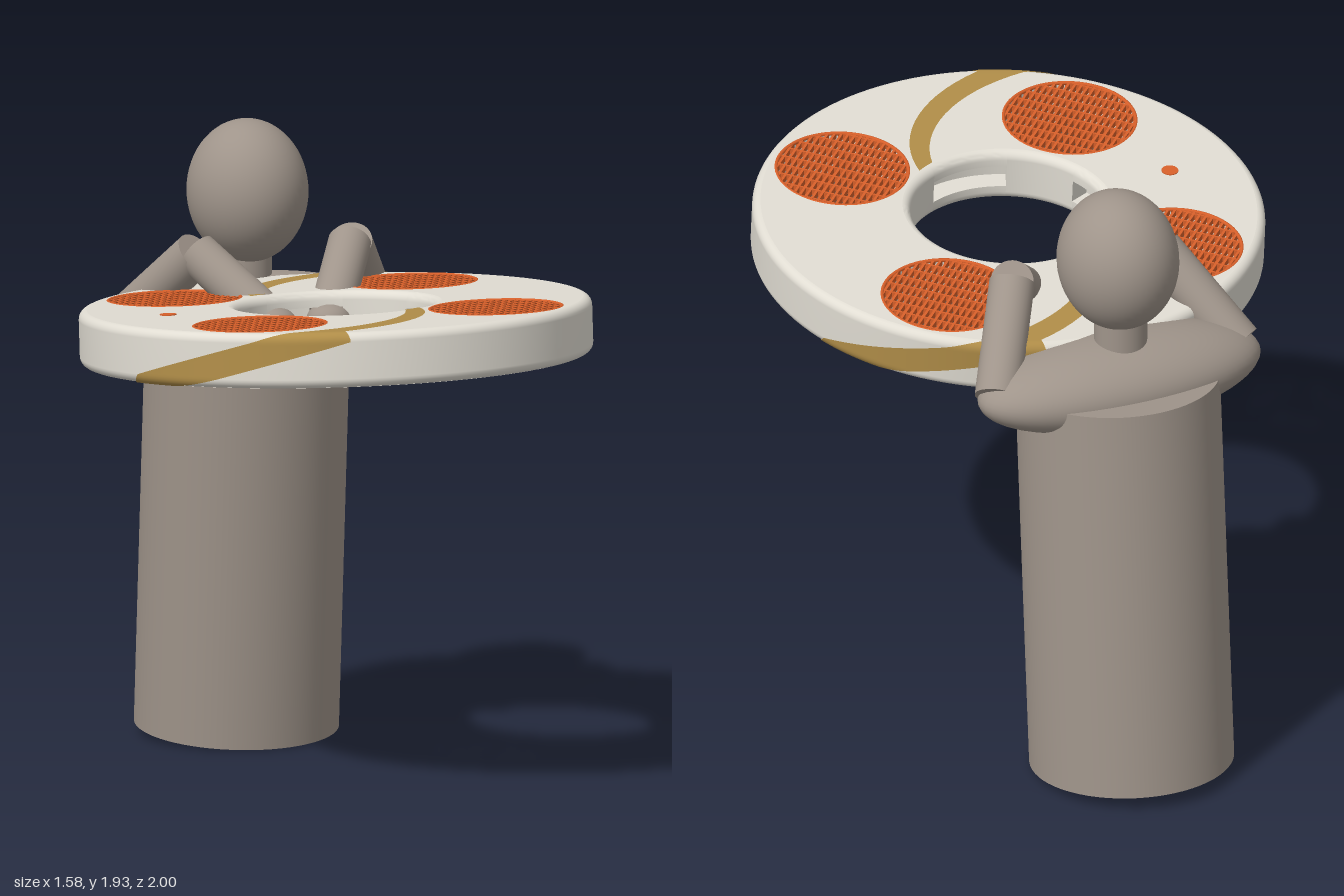
import * as THREE from 'three';
import { mergeGeometries, toCreasedNormals } from 'three/addons/utils/BufferGeometryUtils.js';

const mat = (name, color, side = THREE.FrontSide) => {
  const m = new THREE.MeshStandardMaterial({ color, side });
  m.name = name;
  return m;
};

const R = 0.788, HOLE = 0.302, H = 0.085, F = 0.028; // ring radii, half height, edge rounding
const FAN_R = 0.207, FAN_AT = 0.385;
const SLOT = 0.42, SLOT_H = 0.036, SLOT_R = 0.37;

export function createModel() {
  const skin = mat('taupe', 0x9f948a);
  const shell = mat('shell white', 0xe1ddd3, THREE.DoubleSide);
  const gold = mat('gold', 0xb08d48, THREE.DoubleSide);
  const orange = mat('orange', 0xd9602a);
  const dark = mat('dark grey', 0x5c5650);

  const model = new THREE.Group();
  const add = (parent, name, geometry, material, x = 0, y = 0, z = 0) => {
    const mesh = new THREE.Mesh(geometry, material);
    mesh.name = name;
    mesh.position.set(x, y, z);
    parent.add(mesh);
    return mesh;
  };
  const V = (x, y, z) => new THREE.Vector3(x, y, z);

  // ---- figure ----
  const figure = new THREE.Group();
  figure.name = 'figure';
  model.add(figure);
  add(figure, 'body', new THREE.CylinderGeometry(0.315, 0.315, 1.28, 64), skin, 0, 0.664, -0.635).rotation.x = 0.08;
  add(figure, 'shoulders', new THREE.SphereGeometry(1, 48, 32).scale(0.47, 0.14, 0.205), skin, 0, 1.31, -0.595);
  add(figure, 'neck', new THREE.CylinderGeometry(0.082, 0.082, 0.2, 32), skin, 0, 1.46, -0.607);
  add(figure, 'head', new THREE.SphereGeometry(1, 48, 32).scale(0.185, 0.222, 0.205), skin, 0, 1.711, -0.587);

  // limb cylinder between two points
  const limb = (name, a, b, r) => {
    const mid = a.clone().add(b).multiplyScalar(0.5);
    const m = add(figure, name, new THREE.CylinderGeometry(r, r, a.distanceTo(b), 32), skin, mid.x, mid.y, mid.z);
    m.quaternion.setFromUnitVectors(V(0, 1, 0), b.clone().sub(a).normalize());
  };
  for (const s of [1, -1]) {
    const side = s > 0 ? 'left' : 'right';
    const elbow = V(s * 0.25, 1.575, -0.355), hand = V(s * 0.09, 1.395, -0.1);
    limb(side + 'UpperArm', V(s * 0.41, 1.325, -0.59), elbow, 0.07);
    limb(side + 'Forearm', elbow, V(s * 0.105, 1.41, -0.125), 0.067);
    add(figure, side + 'Hand', new THREE.SphereGeometry(1, 32, 20).scale(0.07, 0.05, 0.07), skin, hand.x, hand.y, hand.z);
  }

  // ---- flying ring ----
  const ring = new THREE.Group();
  ring.name = 'flyingRing';
  ring.position.set(0, 1.425, 0.208);
  ring.rotation.x = -0.087;
  model.add(ring);

  // rounded corner of a rim profile, centre (cx, cy), from angle a0 to a1
  const corner = (cx, cy, a0, a1) => Array.from({ length: 7 }, (_, i) => {
    const a = a0 + (a1 - a0) * i / 6;
    return new THREE.Vector2(cx + F * Math.cos(a), cy + F * Math.sin(a));
  });
  const q = Math.PI / 2;
  const outer = [...corner(R - F, F - H, -q, 0), ...corner(R - F, H - F, 0, q)];
  const innerTop = corner(HOLE + F, H - F, q, 2 * q);
  const innerBottom = corner(HOLE + F, F - H, 2 * q, 3 * q);
  const notch = [[HOLE, SLOT_H], [SLOT_R, SLOT_H], [SLOT_R, -SLOT_H], [HOLE, -SLOT_H]]
    .map(p => new THREE.Vector2(...p));

  add(ring, 'outerRim', new THREE.LatheGeometry(outer, 128), shell);

  // inner wall with four hand slots
  for (let i = 0; i < 4; i++) {
    const a = i * q;
    add(ring, 'innerWall', new THREE.LatheGeometry([...innerTop, ...innerBottom], 16, a + SLOT, q - 2 * SLOT), shell);
    add(ring, 'handSlot', toCreasedNormals(
      new THREE.LatheGeometry([...innerTop, ...notch, ...innerBottom], 16, a - SLOT, 2 * SLOT), 0.6), shell);
    for (const e of [-SLOT, SLOT]) {
      const r = (HOLE + SLOT_R) / 2;
      const end = add(ring, 'slotEnd', new THREE.PlaneGeometry(SLOT_R - HOLE, 2 * SLOT_H), shell,
        r * Math.sin(a + e), 0, r * Math.cos(a + e));
      end.rotation.y = a + e - q;
    }
  }

  // flat top and bottom with fan openings, lapping slightly over the rounded edges
  const LAP = 0.003;
  const face = new THREE.Shape().absarc(0, 0, R - F + LAP, 0, 4 * q);
  const cut = (x, y, r) => face.holes.push(new THREE.Path().absarc(x, y, r, 0, 4 * q, true));
  cut(0, 0, HOLE + F - LAP);
  const fans = [[1, 1], [1, -1], [-1, 1], [-1, -1]];
  fans.forEach(([x, z]) => cut(x * FAN_AT, z * FAN_AT, FAN_R));
  const faceGeo = new THREE.ShapeGeometry(face, 64);
  add(ring, 'topFace', faceGeo.clone().rotateX(-q), shell, 0, H, 0);
  add(ring, 'bottomFace', faceGeo.clone().rotateX(q), shell, 0, -H, 0);

  // diagonal grille: close slats with sparser ribs across them
  const bars = (step, width, angle) => {
    const parts = [];
    for (let d = -0.19; d < 0.195; d += step) {
      const len = 2 * Math.sqrt(FAN_R ** 2 - d * d);
      parts.push(new THREE.BoxGeometry(len, 0.02, width).translate(0, 0, d));
    }
    return mergeGeometries(parts).rotateY(angle);
  };
  const grilleGeo = mergeGeometries([bars(0.02, 0.008, q / 2), bars(0.0475, 0.006, -q / 2)]);
  for (const [sx, sz] of fans) {
    const fan = new THREE.Group();
    fan.name = 'fan';
    fan.position.set(sx * FAN_AT, 0, sz * FAN_AT);
    ring.add(fan);
    add(fan, 'duct', new THREE.CylinderGeometry(FAN_R, FAN_R, 2 * H, 48, 1, true), shell);
    add(fan, 'hub', new THREE.CylinderGeometry(0.035, 0.035, 0.07, 24), dark);
    for (let k = 0; k < 3; k++) {
      const arm = new THREE.BoxGeometry(0.17, 0.008, 0.05).rotateX(0.35).translate(0.105, 0, 0);
      add(fan, 'blade', arm.rotateY(k * 4 * q / 3), dark);
    }
    for (const s of [1, -1]) {
      add(fan, 'grille', grilleGeo, orange, 0, s * (H - 0.012), 0);
      add(fan, 'grilleRim', new THREE.TorusGeometry(FAN_R - 0.003, 0.006, 8, 64).rotateX(q), orange, 0, s * (H - 0.004), 0);
    }
  }

  add(ring, 'indicatorLight', new THREE.CylinderGeometry(0.026, 0.026, 0.008, 24), orange, -0.545, H - 0.001, 0);

  // spiral stripe: out over the top, down the rim, back in underneath
  const stripe = turn => {
    const rows = [], E = 0.003, deg = Math.PI / 180;
    const row = (r, y, a, w) => rows.push([r, y, a * deg + turn, w]);
    const N = 16;
    for (let i = 0; i <= N; i++) {
      const t = i / N;
      row(HOLE + F + t * (R - HOLE - 2 * F), H + E, 64 + 49 * t, 0.19);
    }
    for (let i = 1; i < 6; i++) {
      const a = q * (1 - i / 6);
      row(R - F + (F + E) * Math.cos(a), H - F + (F + E) * Math.sin(a), 113 + i * 0.8, 0.19 + i * 0.035);
    }
    for (let i = 0; i <= N; i++) {
      const t = i / N;
      row(R + E, (H - F) * (1 - 2 * t), 118 + 31 * t, 0.4);
    }
    for (let i = 1; i < 6; i++) {
      const a = -q * i / 6;
      row(R - F + (F + E) * Math.cos(a), F - H + (F + E) * Math.sin(a), 149 + i * 1.5, 0.4 - i * 0.035);
    }
    for (let i = 0; i <= N; i++) {
      const t = i / N;
      row(R - F - t * (R - HOLE - 2 * F), -H - E, 158 + 49 * t, 0.19);
    }
    const M = 8, pos = [], idx = [];
    rows.forEach(([r, y, a, w], i) => {
      for (let j = 0; j <= M; j++) {
        const b = a + w * (j / M - 0.5);
        pos.push(r * Math.cos(b), y, r * Math.sin(b));
        if (i && j) {
          const p = i * (M + 1) + j, o = p - M - 1;
          idx.push(o - 1, o, p - 1, o, p, p - 1);
        }
      }
    });
    const g = new THREE.BufferGeometry();
    g.setAttribute('position', new THREE.Float32BufferAttribute(pos, 3));
    g.setIndex(idx);
    g.computeVertexNormals();
    return g;
  };
  add(ring, 'frontStripe', stripe(0), gold);
  add(ring, 'backStripe', stripe(Math.PI), gold);

  return model;
}
